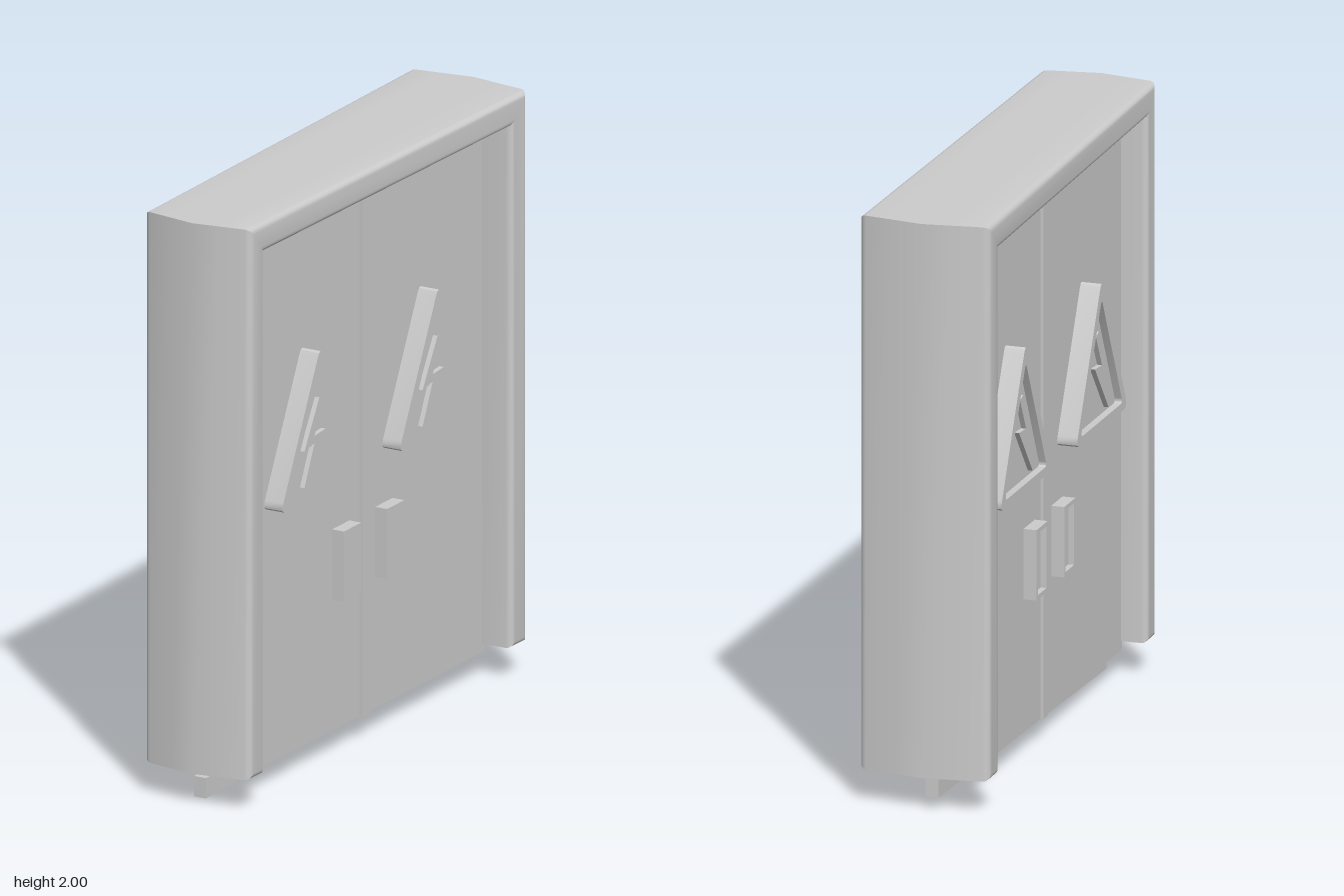
import * as THREE from 'three';
import { toCreasedNormals } from 'three/addons/utils/BufferGeometryUtils.js';

const grey = new THREE.MeshStandardMaterial({ color: 0xcccccc });
grey.name = 'light grey';

function part(name, geometry, parent) {
  const mesh = new THREE.Mesh(geometry, grey);
  mesh.name = name;
  parent.add(mesh);
  return mesh;
}

function box(name, parent, x0, x1, y0, y1, z0, z1) {
  const g = new THREE.BoxGeometry(x1 - x0, y1 - y0, z1 - z0);
  g.translate((x0 + x1) / 2, (y0 + y1) / 2, (z0 + z1) / 2);
  return part(name, g, parent);
}

// Closed outline with each corner cut by a curve of size r
function trace(path, pts, r) {
  const v = pts.map(p => new THREE.Vector2(...p));
  v.forEach((p, i) => {
    const prev = v[(i + v.length - 1) % v.length], next = v[(i + 1) % v.length];
    const a = p.clone().add(prev.clone().sub(p).setLength(r));
    const b = p.clone().add(next.clone().sub(p).setLength(r));
    if (i === 0) path.moveTo(a.x, a.y); else path.lineTo(a.x, a.y);
    path.quadraticCurveTo(p.x, p.y, b.x, b.y);
  });
  path.closePath();
  return path;
}

// Plate on a door face: outline in (z, y), reaching from x0 to x1 on side s
function plate(name, parent, s, x0, x1, pts, r = 0, hole = null, holeR = 0) {
  const flip = list => list.map(([z, y]) => [-s * z, y]);
  const make = (path, list, rad) => rad > 0 ? trace(path, flip(list), rad)
    : path.setFromPoints(flip(list).map(p => new THREE.Vector2(...p)));
  const shape = make(new THREE.Shape(), pts, r);
  if (hole) shape.holes.push(make(new THREE.Path(), hole, holeR));
  const g = new THREE.ExtrudeGeometry(shape, { depth: x1 - x0, bevelEnabled: false, curveSegments: 4 });
  g.translate(0, 0, x0);
  g.rotateY(s * Math.PI / 2);
  return part(name, toCreasedNormals(g, 0.5), parent);
}

// Arch of two posts and a header, rounded edges, tapered width and bowed ends
function frameGeometry() {
  const shape = new THREE.Shape([
    [-0.862, 0.11], [-0.862, 2], [0.862, 2], [0.862, 0.11],
    [0.77, 0.11], [0.77, 1.9], [-0.765, 1.9], [-0.765, 0.11],
  ].map(p => new THREE.Vector2(...p)));
  const r = 0.022, half = 0.213;
  const g = new THREE.ExtrudeGeometry(shape, {
    depth: 2 * (half - r), steps: 4, bevelThickness: r, bevelSize: r, bevelOffset: -r, bevelSegments: 4,
  });
  g.translate(0, 0, r - half);
  g.rotateY(-Math.PI / 2);
  const p = g.attributes.position;
  for (let i = 0; i < p.count; i++) {
    const x = p.getX(i), z = p.getZ(i);
    p.setX(i, x * (1 - 0.066 * z));
    if (Math.abs(z) > 0.82) {
      p.setZ(i, z + Math.sign(z) * 0.033 * (1 - Math.abs(x) / half));
    }
  }
  return toCreasedNormals(g, 0.5);
}

const rect = (z0, z1, y0, y1) => [[z0, y0], [z1, y0], [z1, y1], [z0, y1]];
const triangle = (z, half, y0, y1) => [[z - half, y0], [z + half, y0], [z, y1]];

function warningSign(parent, s, z) {
  const sign = new THREE.Group();
  sign.name = 'warningSign';
  parent.add(sign);
  const outer = triangle(z, 0.255, 0.955, 1.465);
  const inner = triangle(z, 0.207, 0.983, 1.395);
  plate('signRim', sign, s, 0.105, 0.18, outer, 0.04, inner, 0.02);
  plate('signPanel', sign, s, 0.105, 0.155, inner);
  const bolt = [[-0.005, 1.285], [0.09, 1.125], [0.025, 1.137], [0.09, 1.0],
    [-0.045, 1.167], [0.025, 1.162], [-0.035, 1.275]];
  plate('boltSymbol', sign, s, 0.15, 0.172, bolt.map(([u, y]) => [z + u, y]));
}

function handle(parent, s, z) {
  const g = new THREE.Group();
  g.name = 'handle';
  parent.add(g);
  const inner = rect(z - 0.042, z + 0.042, 0.545, 0.755);
  plate('handleRim', g, s, 0.105, 0.155, rect(z - 0.055, z + 0.055, 0.53, 0.77), 0, inner);
  plate('handlePanel', g, s, 0.105, 0.135, inner);
}

export function createModel() {
  const model = new THREE.Group();
  model.name = 'cabinet';

  part('frame', frameGeometry(), model);

  // Recessed doors with everything mounted on both faces
  box('doorCore', model, -0.11, 0.11, 0.08, 1.91, -0.78, 0.78);
  for (const s of [1, -1]) {
    const side = new THREE.Group();
    side.name = s > 0 ? 'leftDoors' : 'rightDoors';
    model.add(side);
    plate('centreStrip', side, s, 0.1, 0.12, rect(-0.028, 0.014, 0.075, 1.905));
    for (const z of [0.38, -0.373]) warningSign(side, s, z);
    for (const z of [0.135, -0.14]) handle(side, s, z);
  }

  // Slightly sloping rail under the doors
  const rail = new THREE.BoxGeometry(0.045, 0.07, 1.665);
  const p = rail.attributes.position;
  for (let i = 0; i < p.count; i++) {
    const z = p.getZ(i) - 0.0275;
    p.setXYZ(i, p.getX(i) - 0.025, p.getY(i) + 0.035 + (0.805 - z) * 0.023, z);
  }
  part('bottomRail', rail, model);

  return model;
}
